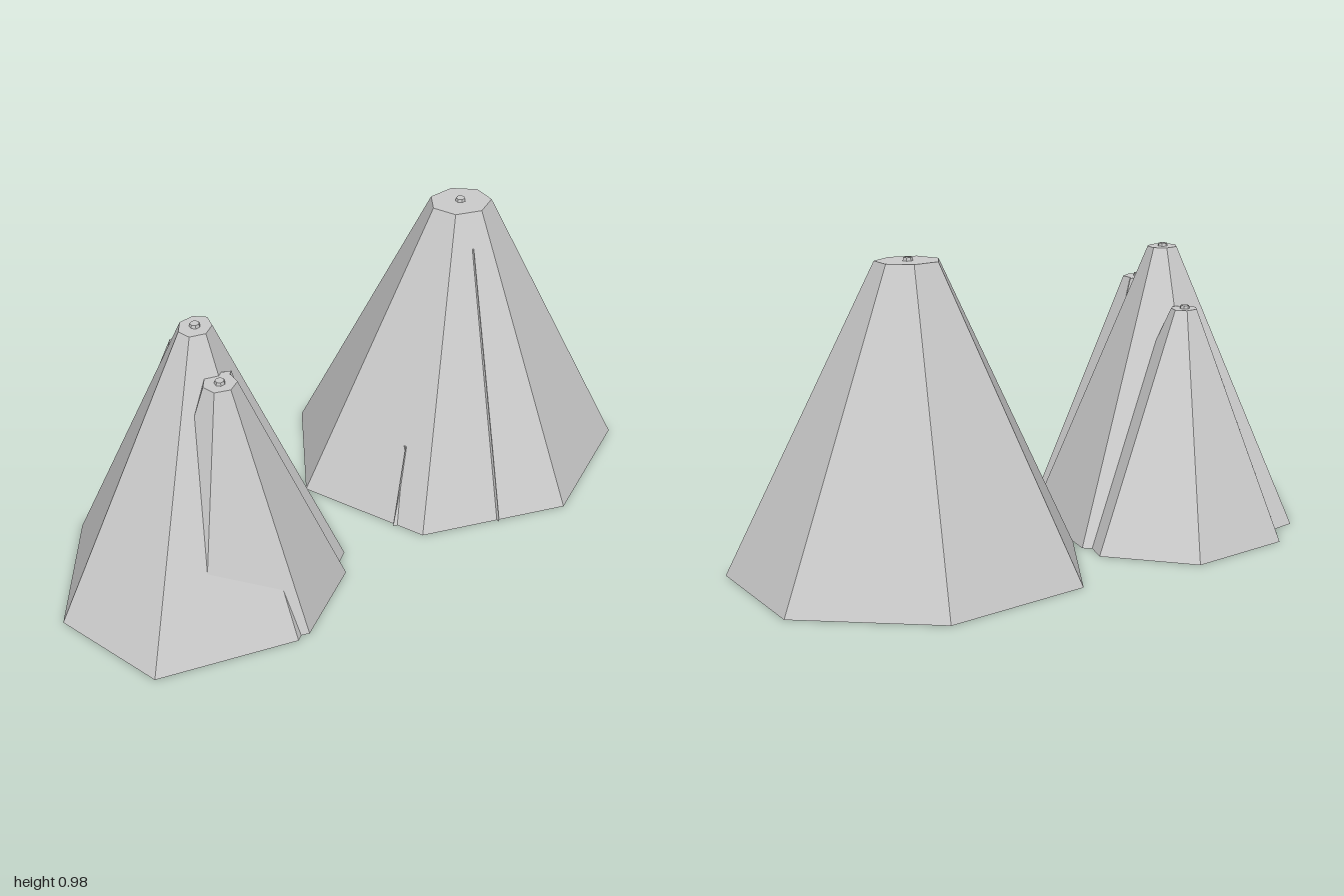
import * as THREE from 'three';

const grey = new THREE.MeshStandardMaterial({ color: 0xcccccc, flatShading: true });

// Faceted solid between a base outline at y0 and a top outline at y1.
// Outlines are [x, z] loops running back, right, front, left.
function loft(name, base, top, y0, y1) {
  const pos = [];
  const n = base.length;
  const low = base.map(([x, z]) => [x, y0, z]);
  const high = top.map(([x, z]) => [x, y1, z]);
  const tri = (a, b, c) => pos.push(...a, ...b, ...c);
  for (let i = 0; i < n; i++) {
    const j = (i + 1) % n;
    tri(low[j], low[i], high[i]);
    tri(low[j], high[i], high[j]);
    if (i > 0 && i < n - 1) {
      tri(low[0], low[i], low[j]);
      tri(high[0], high[j], high[i]);
    }
  }
  const geo = new THREE.BufferGeometry();
  geo.setAttribute('position', new THREE.Float32BufferAttribute(pos, 3));
  geo.computeVertexNormals();
  const mesh = new THREE.Mesh(geo, grey);
  mesh.name = name;
  return mesh;
}

// Seven-sided mound with a small flat summit and a stub on it
function mound(name, base, baseCentre, topCentre, scale, height) {
  const g = new THREE.Group();
  g.name = name;
  const top = base.map(([x, z]) => [
    topCentre[0] + scale * (x - baseCentre[0]),
    topCentre[1] + scale * (z - baseCentre[1]),
  ]);
  g.add(loft(name + 'Slopes', base, top, 0, height));
  const stub = new THREE.Mesh(new THREE.CylinderGeometry(0.014, 0.018, 0.016, 7), grey);
  stub.name = name + 'Stub';
  stub.position.set(topCentre[0], height + 0.002, topCentre[1]);
  g.add(stub);
  return g;
}

export function createModel() {
  const model = new THREE.Group();
  model.name = 'mounds';

  // Large mound standing alone
  model.add(mound('largeMound',
    [[0.42, -0.66], [0.87, -0.49], [1, -0.08], [0.69, 0.26], [0.19, 0.27], [-0.12, -0.06], [-0.03, -0.47]],
    [0.44, -0.195], [0.435, -0.19], 0.175, 0.97));

  // Cluster of three overlapping mounds
  model.add(mound('tallMound',
    [[-0.5, -0.27], [-0.13, -0.13], [-0.08, 0.28], [-0.32, 0.62], [-0.77, 0.66], [-1, 0.35], [-0.88, -0.08]],
    [-0.53, 0.195], [-0.505, 0.2], 0.11, 0.92));
  model.add(mound('frontMound',
    [[-0.42, 0.02], [-0.18, 0.12], [-0.1, 0.37], [-0.28, 0.6], [-0.61, 0.61], [-0.78, 0.38], [-0.7, 0.12]],
    [-0.44, 0.33], [-0.465, 0.33], 0.15, 0.8));
  model.add(mound('backMound',
    [[-0.44, -0.38], [-0.16, -0.22], [-0.16, 0.11], [-0.3, 0.33], [-0.68, 0.34], [-0.87, 0.08], [-0.77, -0.24]],
    [-0.51, 0], [-0.52, 0.02], 0.12, 0.74));

  // Thin ridges breaking through the slopes
  model.add(loft('frontRidge',
    [[0.425, 0.2], [0.475, 0.2], [0.455, 0.276]],
    [[0.425, -0.1], [0.455, -0.1], [0.44, -0.06]], 0, 0.86));
  model.add(loft('lowRidge',
    [[0.16, 0.1], [0.17, 0.2], [0.11, 0.2]],
    [[0.17, 0.08], [0.19, 0.1], [0.175, 0.11]], 0, 0.25));
  model.add(loft('summitSpur',
    [[-0.44, 0.27], [-0.405, 0.275], [-0.43, 0.3]],
    [[-0.48, 0.28], [-0.42, 0.28], [-0.45, 0.34]], 0.74, 0.8));

  return model;
}
